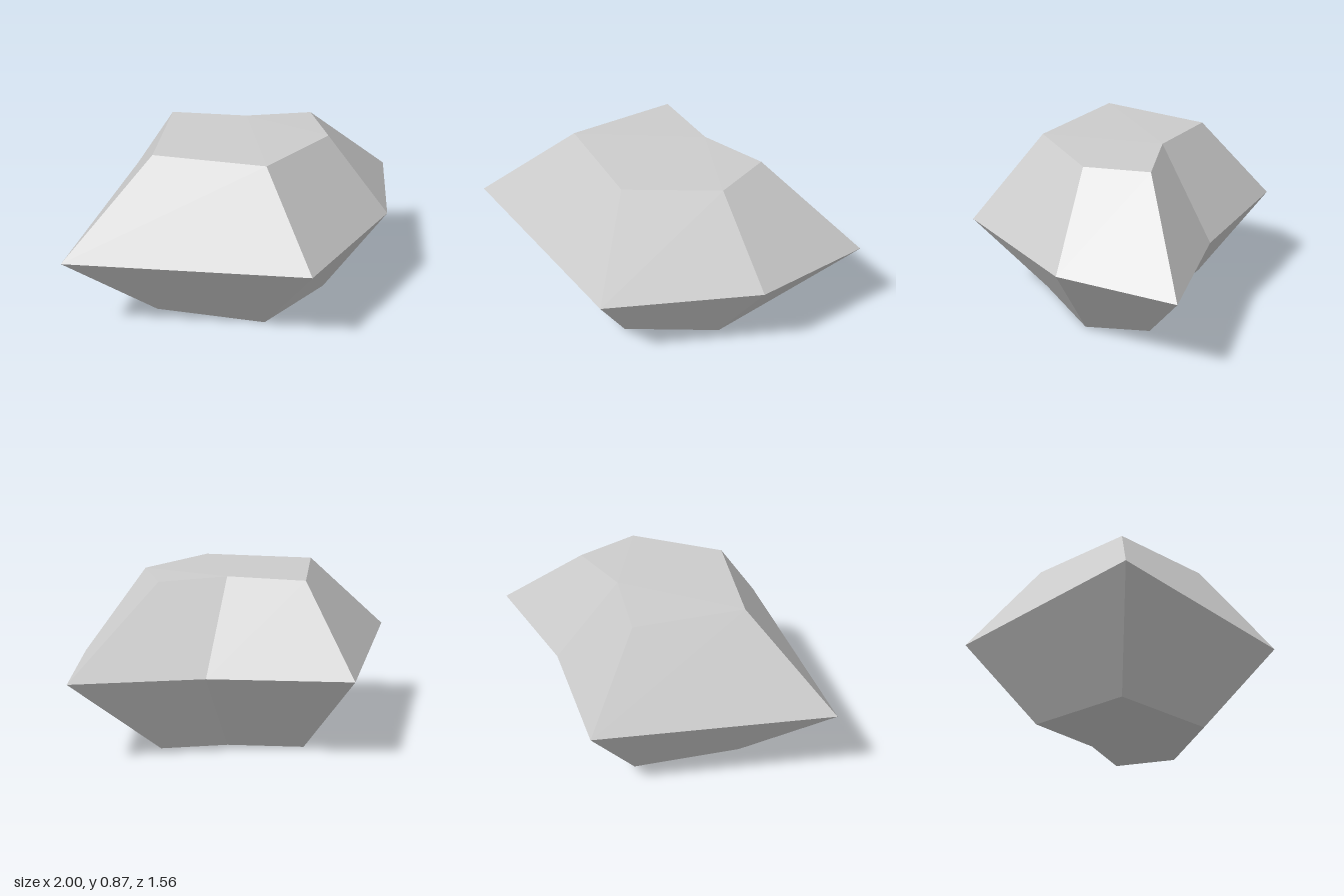
import * as THREE from 'three';

// Outlines as [x, z, height above the girdle], running left, front, right, back
const MID = 0.435;
const girdle = [[-1, 0.04, 0], [-0.064, 0.78, 0], [0.64, 0.44, 0], [1, -0.06, 0], [0.41, -0.345, 0], [-0.144, -0.783, 0]];
const table = [[-0.477, 0.013, 0.431], [-0.083, 0.41, 0.431], [0.375, 0.27, 0.431], [0.48, -0.035, 0.425], [0.16, -0.152, 0.435], [-0.123, -0.415, 0.425]];
const NOTCH = 4;

const ring = (points, sign) => points.map(([x, z, h]) => new THREE.Vector3(x, MID + sign * h, z));

// Builds flat facets; each quad keeps one normal across both triangles
function facets(name, faces, material) {
  const positions = [], normals = [];
  for (const face of faces) {
    const [a, b, c, d = a] = face;
    const normal = c.clone().sub(a);
    if (face.length === 4) normal.cross(d.clone().sub(b));
    else normal.copy(b).sub(a).cross(c.clone().sub(a));
    normal.normalize();
    const corners = face.length === 4 ? [a, b, c, a, c, d] : [a, b, c];
    for (const p of corners) {
      positions.push(p.x, p.y, p.z);
      normals.push(normal.x, normal.y, normal.z);
    }
  }
  const geometry = new THREE.BufferGeometry();
  geometry.setAttribute('position', new THREE.Float32BufferAttribute(positions, 3));
  geometry.setAttribute('normal', new THREE.Float32BufferAttribute(normals, 3));
  const mesh = new THREE.Mesh(geometry, material);
  mesh.name = name;
  return mesh;
}

// Sloping facets between a lower and an upper ring
const band = (low, high) => low.map((p, i) => {
  const j = (i + 1) % low.length;
  return [p, low[j], high[j], high[i]];
});

// Fan from the notch corner, which sees every other corner
function cap(points, facingUp) {
  const n = points.length, faces = [];
  for (let i = 1; i < n - 1; i++) {
    const face = [points[NOTCH], points[(NOTCH + i) % n], points[(NOTCH + i + 1) % n]];
    faces.push(facingUp ? face : face.reverse());
  }
  return faces;
}

export function createModel() {
  const stone = new THREE.MeshStandardMaterial({ color: 0xcccccc });
  stone.name = 'stone grey';

  const top = ring(table, 1), middle = ring(girdle, 0), bottom = ring(table, -1);
  const group = new THREE.Group();
  group.name = 'facetedRock';
  group.add(
    facets('upperFacets', band(middle, top), stone),
    facets('lowerFacets', band(bottom, middle), stone),
    facets('topFace', cap(top, true), stone),
    facets('bottomFace', cap(bottom, false), stone),
  );
  return group;
}
